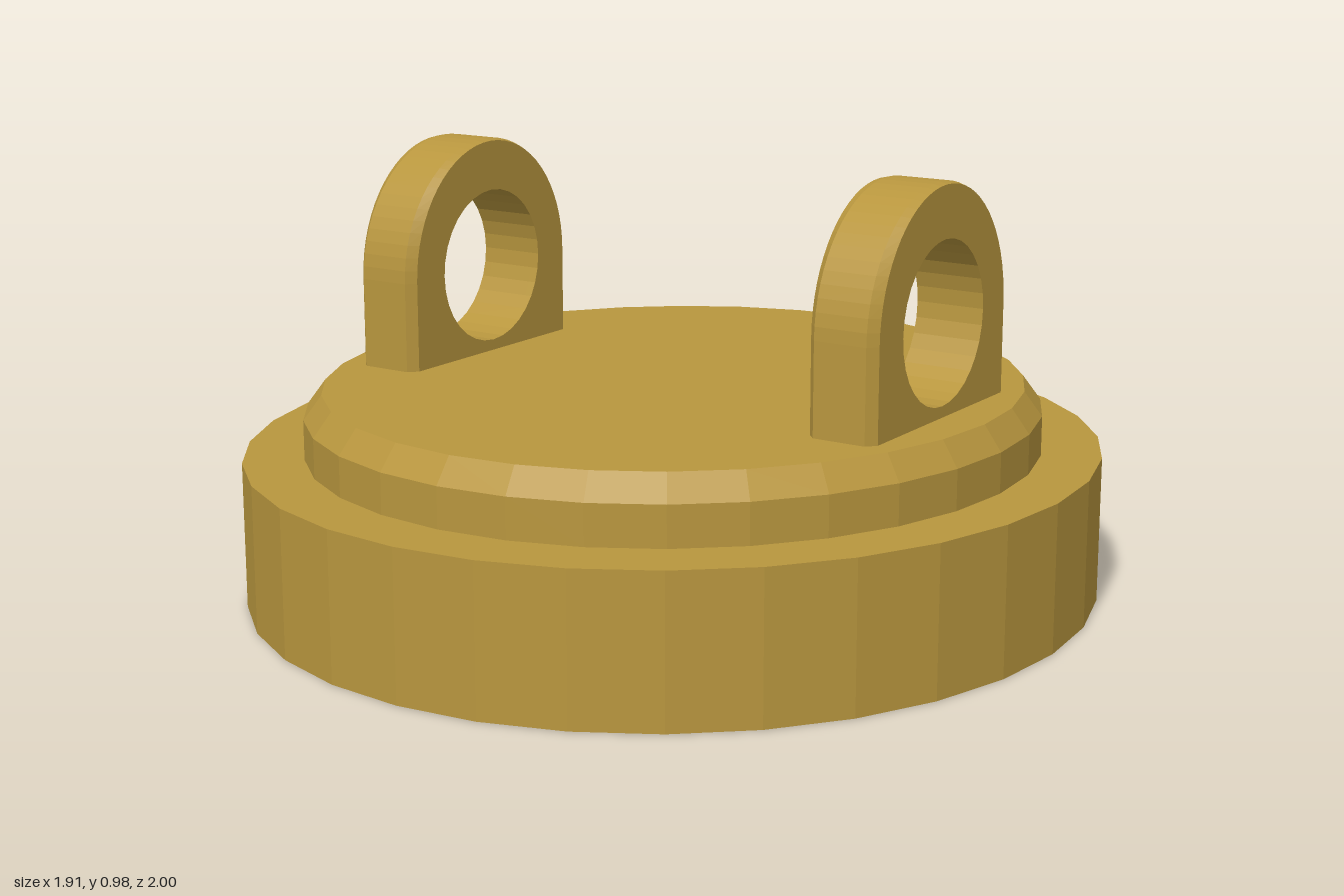
import * as THREE from 'three';

const material = new THREE.MeshStandardMaterial({ color: 0xb8963e, flatShading: true });

// Stepped, slightly oval lid with a chamfered upper rim
function makeLid() {
  const profile = [[0, 0], [1, 0], [1, 0.33], [0.86, 0.33], [0.86, 0.42], [0.818, 0.475], [0, 0.475]];
  const geometry = new THREE.LatheGeometry(profile.map(([r, y]) => new THREE.Vector2(r, y)), 32);
  geometry.scale(0.955, 1, 1);
  const lid = new THREE.Mesh(geometry, material);
  lid.name = 'lid';
  return lid;
}

// Upright lug with a round eye; its outer edges are chamfered, fading toward the crown
function makeLug() {
  const radius = 0.3, eyeY = 0.68, eyeRadius = 0.18, thickness = 0.16;
  const shape = new THREE.Shape();
  shape.moveTo(-radius, 0.47);
  shape.lineTo(radius, 0.47);
  shape.lineTo(radius, eyeY);
  shape.absarc(0, eyeY, radius, 0, Math.PI, false);
  shape.closePath();
  shape.holes.push(new THREE.Path().absarc(0, eyeY, eyeRadius, 0, Math.PI * 2, true));

  const geometry = new THREE.ExtrudeGeometry(shape, {
    depth: thickness, steps: 3, bevelEnabled: false, curveSegments: 16,
  });
  const layers = [-0.08, -0.061, 0.061, 0.08];
  const p = geometry.attributes.position;
  for (let i = 0; i < p.count; i++) {
    const layer = Math.round(p.getZ(i) / thickness * 3);
    p.setZ(i, layers[layer]);
    const outer = Math.hypot(p.getX(i), p.getY(i) - eyeY) > eyeRadius + 0.05;
    if (outer && (layer === 0 || layer === 3)) {
      p.setX(i, p.getX(i) * 0.93);
      if (p.getY(i) > eyeY) p.setY(i, eyeY + (p.getY(i) - eyeY) * 0.985);
    }
  }
  geometry.rotateY(Math.PI / 2);
  geometry.computeVertexNormals();
  return new THREE.Mesh(geometry, material);
}

export function createModel() {
  const model = new THREE.Group();
  model.name = 'lidWithLugs';
  model.add(makeLid());
  for (const [name, side] of [['leftLug', 1], ['rightLug', -1]]) {
    const lug = makeLug();
    lug.name = name;
    lug.position.x = side * 0.6;
    model.add(lug);
  }
  return model;
}
